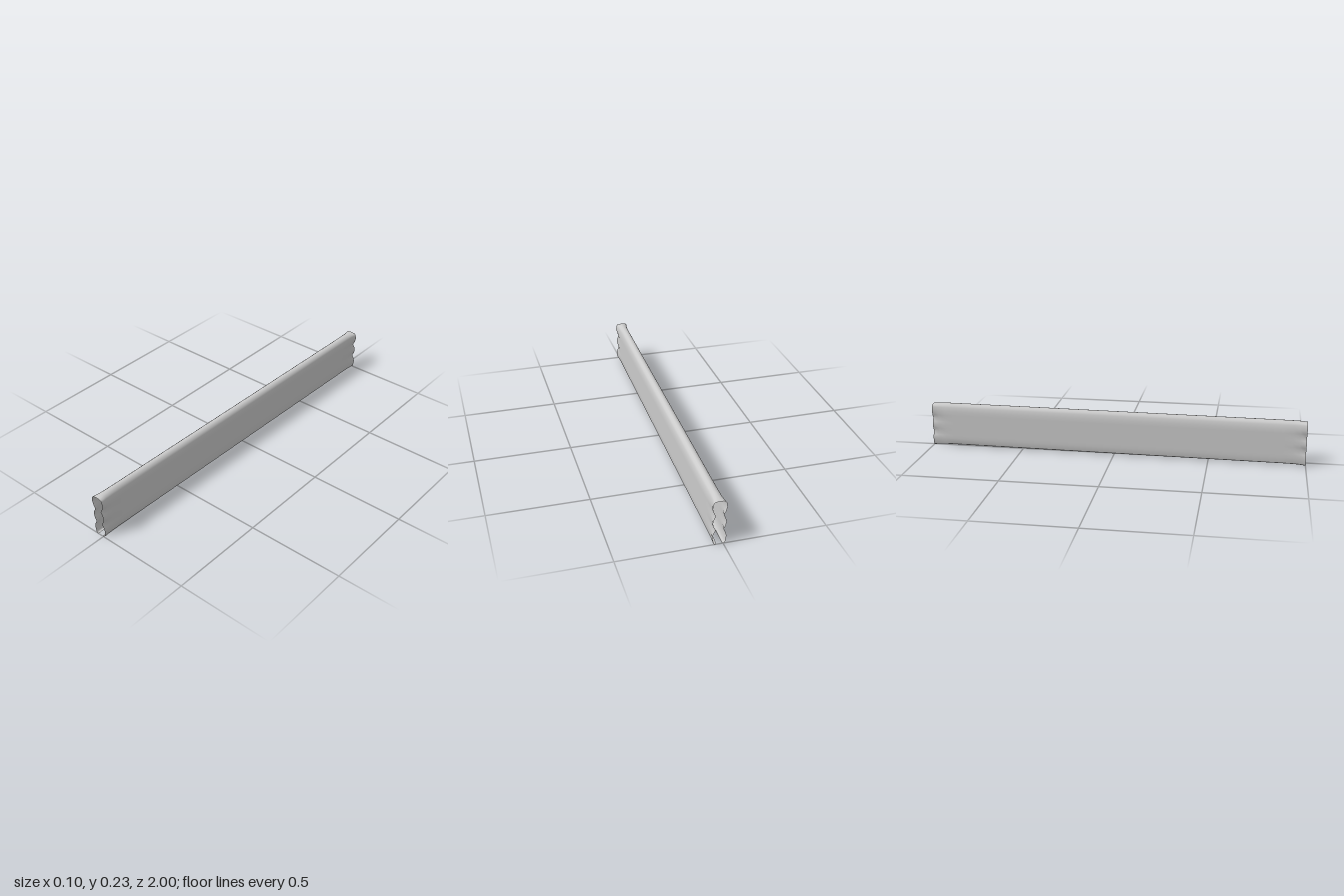
import * as THREE from 'three';

// Half cross-sections from the bottom lip up to the ridge: [half width, height]
const END = [
  [0.014, 0.001], [0.022, 0], [0.028, 0.006], [0.033, 0.04], [0.028, 0.058], [0.018, 0.076],
  [0.028, 0.095], [0.032, 0.114], [0.028, 0.133], [0.018, 0.151], [0.028, 0.17],
  [0.034, 0.192], [0.031, 0.215], [0.026, 0.223], [0.014, 0.226], [0, 0.227],
];
const BODY = [
  [0.012, 0.006], [0.02, 0.005], [0.026, 0.01], [0.028, 0.04], [0.028, 0.058], [0.028, 0.076],
  [0.028, 0.095], [0.028, 0.114], [0.028, 0.133], [0.028, 0.151], [0.028, 0.17],
  [0.028, 0.192], [0.024, 0.213], [0.019, 0.223], [0.01, 0.231], [0, 0.233],
];

// Full open loop: up the left wall, over the ridge, down the right wall
function section(flare) {
  const half = BODY.map(([x, y], i) => [
    THREE.MathUtils.lerp(x, END[i][0], flare),
    THREE.MathUtils.lerp(y, END[i][1], flare),
  ]);
  const mirrored = half.slice(0, -1).reverse().map(([x, y]) => [-x, y]);
  return [...half, ...mirrored];
}

export function createModel() {
  const group = new THREE.Group();
  group.name = 'slottedSleeve';

  // Stations along the length, with the amount of scalloped end flare
  const front = [[1, 1], [0.985, 0.7], [0.965, 0.3], [0.93, 0.08], [0.88, 0], [0.45, 0]];
  const stations = [...front, [0, 0], ...front.slice().reverse().map(([z, f]) => [-z, f])];

  const positions = [];
  const indices = [];
  const count = BODY.length * 2 - 1;
  stations.forEach(([z, flare], s) => {
    // The sleeve runs slightly askew to the z axis
    for (const [x, y] of section(flare)) positions.push(x - 0.018 * z, y, z);
    if (s === 0) return;
    for (let i = 0; i < count - 1; i++) {
      const a = (s - 1) * count + i;
      const b = s * count + i;
      indices.push(a, b, a + 1, b, b + 1, a + 1);
    }
  });

  const geometry = new THREE.BufferGeometry();
  geometry.setAttribute('position', new THREE.Float32BufferAttribute(positions, 3));
  geometry.setIndex(indices);
  geometry.computeVertexNormals();

  const material = new THREE.MeshStandardMaterial({ color: 0xcccccc, side: THREE.DoubleSide });
  const sleeve = new THREE.Mesh(geometry, material);
  sleeve.name = 'sleeveShell';
  group.add(sleeve);
  return group;
}
